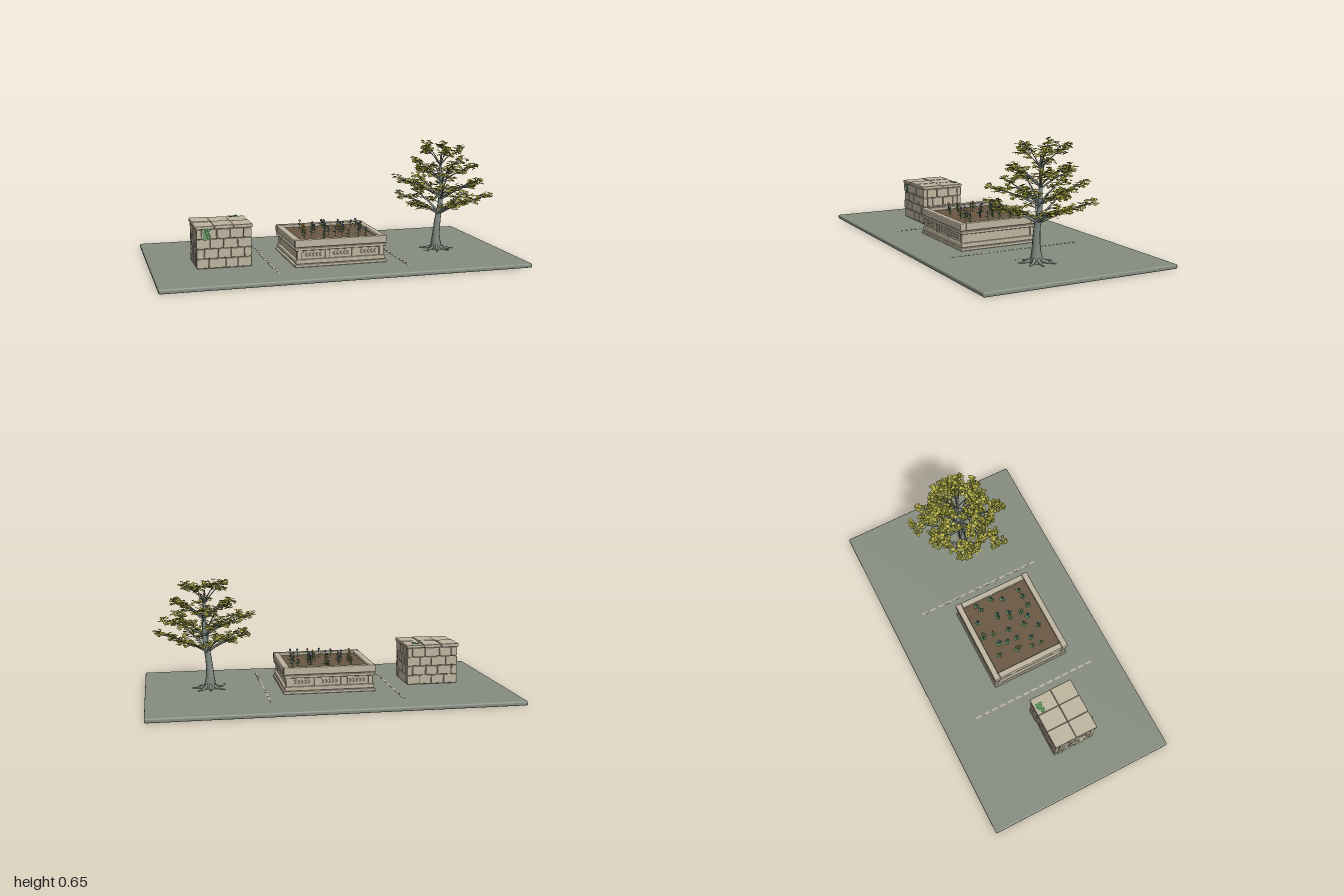
import * as THREE from 'three';
import { mergeGeometries } from 'three/addons/utils/BufferGeometryUtils.js';
import { RoundedBoxGeometry } from 'three/addons/geometries/RoundedBoxGeometry.js';

const V = (x, y, z) => new THREE.Vector3(x, y, z);
const mat = (name, color, side = THREE.FrontSide) => {
  const m = new THREE.MeshStandardMaterial({ color, side });
  m.name = name;
  return m;
};

export function createModel() {
  const M = {
    slab: mat('grey green paving', 0x868e80),
    stone: mat('warm stone', 0xbfb5a0),
    mortar: mat('dark mortar', 0x766c5d, THREE.DoubleSide),
    soil: mat('soil', 0x6a5843),
    bark: mat('grey bark', 0x838e86),
    olive: mat('olive leaf', 0x838731, THREE.DoubleSide),
    yellow: mat('yellow leaf', 0xb8b042, THREE.DoubleSide),
    green: mat('plant leaf', 0x568a57, THREE.DoubleSide),
    blossom: mat('violet blossom', 0x6a6a9a),
    amber: mat('amber blossom', 0xc79a48),
  };
  let seed = 7;
  const rnd = () => (seed = (seed * 16807) % 2147483647) / 2147483647;
  const vary = (a) => (rnd() * 2 - 1) * a;

  const root = new THREE.Group();
  root.name = 'gardenCourt';
  const group = (name) => {
    const g = new THREE.Group();
    g.name = name;
    root.add(g);
    return g;
  };
  const add = (parent, name, geos, material) => {
    const mesh = new THREE.Mesh(Array.isArray(geos) ? mergeGeometries(geos) : geos, material);
    mesh.name = name;
    parent.add(mesh);
  };
  // Box given by its limits, optionally with rounded edges
  const box = (x0, x1, y0, y1, z0, z1, r = 0) => {
    const s = [x1 - x0, y1 - y0, z1 - z0];
    const g = r ? new RoundedBoxGeometry(...s, 1, r) : new THREE.BoxGeometry(...s);
    return g.translate((x0 + x1) / 2, (y0 + y1) / 2, (z0 + z1) / 2);
  };
  // Tube along points whose radius follows a function of t
  const taper = (pts, radius, seg = 6, sides = 6) => {
    const curve = new THREE.CatmullRomCurve3(pts);
    const g = new THREE.TubeGeometry(curve, seg, 1, sides);
    const p = g.attributes.position, v = V(0, 0, 0);
    for (let i = 0; i < p.count; i++) {
      const t = Math.floor(i / (sides + 1)) / seg, c = curve.getPointAt(t);
      v.fromBufferAttribute(p, i).sub(c).multiplyScalar(radius(t)).add(c);
      p.setXYZ(i, v.x, v.y, v.z);
    }
    return g;
  };
  // Folded diamond leaf lying along a heading
  const leaf = (c, heading, pitch, len, wid, roll = 0) => {
    const h = len / 2, w = wid / 2, f = wid * 0.12;
    const g = new THREE.BufferGeometry();
    g.setAttribute('position', new THREE.Float32BufferAttribute(
      [-h, 0, 0, 0, f, w, h, 0, 0, -h, 0, 0, h, 0, 0, 0, f, -w], 3));
    g.computeVertexNormals();
    return g.rotateX(roll).rotateZ(pitch).rotateY(heading).translate(c.x, c.y, c.z);
  };

  // Paving slab and its two dashed joints
  add(root, 'baseSlab', new RoundedBoxGeometry(2, 0.024, 1.094, 2, 0.008).translate(0, 0.012, 0), M.slab);
  const dashes = [];
  for (const x of [-0.37, 0.345])
    for (let i = 0; i < 15; i++) {
      const z = -0.355 + i * 0.0513;
      dashes.push(box(x - 0.005, x + 0.005, 0.022, 0.0255, z, z + 0.036));
    }
  add(root, 'jointDashes', dashes, M.stone);

  // Brick pier: mortar core, running bond on four faces, six cap stones
  const pier = group('brickPier');
  const [px0, px1, pz0, pz1] = [-0.765, -0.468, -0.06, 0.189];
  add(pier, 'mortarCore', box(px0 + 0.006, px1 - 0.006, 0.024, 0.24, pz0 + 0.006, pz1 - 0.006), M.mortar);
  const bricks = [];
  const rowH = 0.0525, gap = 0.0014;
  const course = (a0, a1, n, shift, put) => {
    const w = (a1 - a0) / n;
    const cuts = [a0];
    for (let i = 1; i < n + (shift ? 1 : 0); i++) cuts.push(a0 + (i - (shift ? 0.5 : 0)) * w + vary(0.008));
    cuts.push(a1);
    for (let i = 0; i < cuts.length - 1; i++) put(cuts[i] + gap, cuts[i + 1] - gap, vary(0.003));
  };
  for (let r = 0; r < 4; r++) {
    const y0 = 0.026 + r * rowH + gap, y1 = y0 + rowH - 2 * gap, odd = r % 2;
    course(px0, px1, 4, odd, (a, b, d) => bricks.push(box(a, b, y0, y1, pz1 - 0.025, pz1 + d, 0.003)));
    course(px0, px1, 4, odd, (a, b, d) => bricks.push(box(a, b, y0, y1, pz0 + d, pz0 + 0.025, 0.003)));
    course(pz0 + 0.025, pz1 - 0.025, 3, !odd, (a, b, d) => bricks.push(box(px0 + d, px0 + 0.025, y0, y1, a, b, 0.003)));
    course(pz0 + 0.025, pz1 - 0.025, 3, !odd, (a, b, d) => bricks.push(box(px1 - 0.025, px1 + d, y0, y1, a, b, 0.003)));
  }
  add(pier, 'bricks', bricks, M.stone);
  const caps = [];
  for (let i = 0; i < 3; i++)
    for (let j = 0; j < 2; j++) {
      const x = -0.77 + i * 0.1023, z = -0.066 + j * 0.13;
      caps.push(box(x + 0.0005, x + 0.1018, 0.236, 0.255 + vary(0.002), z + 0.0005, z + 0.1295, 0.004));
    }
  add(pier, 'capStones', caps, M.stone);
  // Small ivy patches on the top, front and side
  const ivy = [];
  for (let i = 0; i < 22; i++) {
    ivy.push(leaf(V(-0.53 + vary(0.026), 0.258 + vary(0.002), -0.035 + vary(0.014)), rnd() * 6.3, vary(0.1), 0.022, 0.02));
    ivy.push(leaf(V(-0.708 + vary(0.014), 0.212 + vary(0.026), 0.194 + vary(0.002)), 0, rnd() * 6.3, 0.022, 0.02, Math.PI / 2 + vary(0.2)));
    if (i < 8) ivy.push(leaf(V(-0.77, 0.15 + vary(0.03), 0.03 + vary(0.012)), Math.PI / 2, rnd() * 6.3, 0.018, 0.014, Math.PI / 2));
  }
  add(pier, 'ivy', ivy, M.green);

  // Planter: stepped plinth, panelled body, ledge and rim
  const planter = group('planter');
  const cz = 0.061;
  const layer = (hx, hz, y0, y1, r) => box(-0.002 - hx, -0.002 + hx, y0, y1, cz - hz, cz + hz, r);
  add(planter, 'plinth', [layer(0.257, 0.234, 0.024, 0.04, 0.004), layer(0.25, 0.228, 0.04, 0.064, 0.005)], M.stone);
  add(planter, 'body', layer(0.238, 0.214, 0.06, 0.115, 0), M.stone);
  add(planter, 'ledge', layer(0.254, 0.23, 0.112, 0.128, 0.004), M.stone);
  const posts = [], panels = [], motif = [];
  for (const s of [1, -1]) {
    const z = cz + s * 0.214;
    for (const x of [-0.232, -0.077, 0.073, 0.228])
      posts.push(box(x - 0.013, x + 0.013, 0.062, 0.114, z - 0.008, z + 0.008, 0.003));
    for (const x of [-0.155, -0.002, 0.151]) {
      panels.push(box(x - 0.054, x + 0.054, 0.07, 0.107, z - 0.002, z + 0.002));
      // Relief sprig along each panel
      for (let i = -2; i <= 2; i++)
        for (const k of [1, -1])
          motif.push(leaf(V(x + i * 0.019, 0.0885 + k * 0.006, z + s * 0.004), 0, k * 0.6, 0.024, 0.013, Math.PI / 2));
    }
    const x = -0.002 + s * 0.238;
    for (const t of [-0.207, 0.207])
      posts.push(box(x - 0.006, x + 0.006, 0.062, 0.114, cz + t - 0.01, cz + t + 0.01, 0.003));
  }
  add(planter, 'panelPosts', posts, M.stone);
  add(planter, 'panels', panels, M.stone);
  add(planter, 'panelSprigs', motif, M.mortar);
  add(planter, 'rimBed', layer(0.245, 0.222, 0.124, 0.134, 0), M.stone);
  const rim = [];
  for (const s of [1, -1]) {
    const z = cz + s * 0.217, x = -0.002 + s * 0.238;
    rim.push(box(-0.258, 0.254, 0.131, 0.172, z - 0.0165, z + 0.0165, 0.005));
    rim.push(box(x - 0.0165, x + 0.0165, 0.131, 0.172, cz - 0.199, cz + 0.199, 0.005));
    for (const t of [1, -1])
      rim.push(box(x - 0.018, x + 0.018, 0.1305, 0.1728, cz + t * 0.217 - 0.0175, cz + t * 0.217 + 0.0175, 0.005));
  }
  add(planter, 'rim', rim, M.stone);
  add(planter, 'soil', layer(0.225, 0.204, 0.12, 0.156, 0), M.soil);

  // Bedding plants with little blossoms
  const stems = [], foliage = [], blooms = { blossom: [], amber: [] };
  for (let i = 0; i < 30; i++) {
    const x = -0.17 + (i % 6) * 0.067 + vary(0.04), z = -0.085 + Math.floor(i / 6) * 0.068 + vary(0.04);
    const h = 0.03 + rnd() * 0.016;
    stems.push(new THREE.CylinderGeometry(0.0015, 0.002, h, 5).translate(x, 0.155 + h / 2, z));
    for (let k = 0; k < 4; k++) {
      const a = k * 1.7 + i, y = 0.158 + h * (0.35 + 0.13 * k);
      foliage.push(leaf(V(x + Math.cos(a) * 0.01, y, z - Math.sin(a) * 0.01), a, 0.15 + vary(0.25), 0.022, 0.019));
    }
    blooms[i % 3 ? 'blossom' : 'amber'].push(
      new THREE.IcosahedronGeometry(0.0075, 0).translate(x, 0.16 + h, z));
  }
  add(planter, 'plantStems', stems, M.green);
  add(planter, 'plantLeaves', foliage, M.green);
  add(planter, 'violetBlossoms', blooms.blossom, M.blossom);
  add(planter, 'amberBlossoms', blooms.amber, M.amber);

  // Tree: curved trunk with flared foot and spreading roots
  const tree = group('tree');
  const trunkPts = [V(0.64, 0.022, 0.06), V(0.638, 0.1, 0.062), V(0.646, 0.2, 0.063),
    V(0.663, 0.3, 0.058), V(0.666, 0.42, 0.057), V(0.66, 0.52, 0.054), V(0.662, 0.575, 0.056)];
  const trunk = new THREE.CatmullRomCurve3(trunkPts);
  const at = (y) => trunk.getPointAt(Math.min(1, (y - 0.022) / 0.553));
  const wood = [taper(trunkPts, (t) => 0.025 * (1 - t * 0.88) + 0.014 * Math.pow(1 - Math.min(t * 5, 1), 2), 20, 9)];
  for (let i = 0; i < 7; i++) {
    const a = i * 0.9 + vary(0.2), l = 0.085 + rnd() * 0.02, c = Math.cos(a), s = Math.sin(a);
    wood.push(taper([V(0.64 + c * 0.012, 0.06, 0.06 + s * 0.012), V(0.64 + c * 0.034, 0.036, 0.06 + s * 0.034),
      V(0.64 + c * l, 0.024, 0.06 + s * l)], (t) => 0.012 * (1 - t * 0.75)));
  }
  // Flat pads of overlapping leaves
  const leaves = { olive: [], yellow: [] };
  const pad = (c, n, spread) => {
    for (let i = 0; i < n; i++) {
      const a = rnd() * 6.283, r = spread * Math.sqrt(rnd());
      const p = V(c.x + Math.cos(a) * r, c.y + vary(0.014), c.z + Math.sin(a) * r);
      leaves[rnd() < 0.5 ? 'olive' : 'yellow'].push(leaf(p, rnd() * 6.283, vary(0.4), 0.028, 0.023, vary(0.4)));
    }
  };
  // Rising branches per tier: trunk height, then [heading in degrees, length] pairs
  const tiers = [
    [0.232, [[17, 0.285], [60, 0.2], [95, 0.23], [142, 0.27], [205, 0.23], [247, 0.2], [295, 0.28], [340, 0.2]]],
    [0.322, [[5, 0.22], [48, 0.23], [108, 0.25], [155, 0.22], [190, 0.26], [245, 0.2], [305, 0.22]]],
    [0.415, [[30, 0.18], [90, 0.16], [160, 0.17], [220, 0.16], [280, 0.17], [335, 0.16]]],
    [0.505, [[15, 0.11], [95, 0.1], [165, 0.11], [235, 0.1], [300, 0.13]]],
  ];
  tiers.forEach(([y, arms], tier) => arms.forEach(([deg, l], i) => {
    const a = deg * Math.PI / 180, rise = 0.103 + vary(0.018), o = at(y + vary(0.01));
    const along = (t, da = 0, d = 0) => V(o.x + Math.cos(a) * l * t + Math.cos(a + da) * d,
      o.y + rise * Math.pow(t, 0.8), o.z + Math.sin(a) * l * t + Math.sin(a + da) * d);
    wood.push(taper([along(0), along(0.35), along(0.7), along(1)], (t) => (0.008 - tier * 0.0013) * (1 - t * 0.75), 5, 5));
    pad(along(1), 14, 0.023);
    pad(along(0.8), 11, 0.024);
    // Twigs alternate sides
    [0.4, 0.58, 0.76].forEach((t, k) => {
      if (tier === 3 && k === 0) return;
      const da = (k % 2 ? -1 : 1) * (i % 2 ? 0.8 : -0.8), d = 0.056 - tier * 0.005;
      const tip = along(t, da, d).add(V(0, 0.008, 0));
      wood.push(taper([along(t), along(t, da, d / 2).add(V(0, 0.004, 0)), tip], (u) => 0.003 * (1 - u * 0.6), 3, 4));
      pad(tip, 13, 0.024);
    });
  }));
  // A few fallen leaves by the roots
  for (let i = 0; i < 8; i++)
    leaves.yellow.push(leaf(V(0.61 + vary(0.08), 0.027, 0.1 + vary(0.06)), rnd() * 6, 0, 0.02, 0.015));
  add(tree, 'trunkAndBranches', wood, M.bark);
  add(tree, 'oliveLeaves', leaves.olive, M.olive);
  add(tree, 'yellowLeaves', leaves.yellow, M.yellow);
  return root;
}
